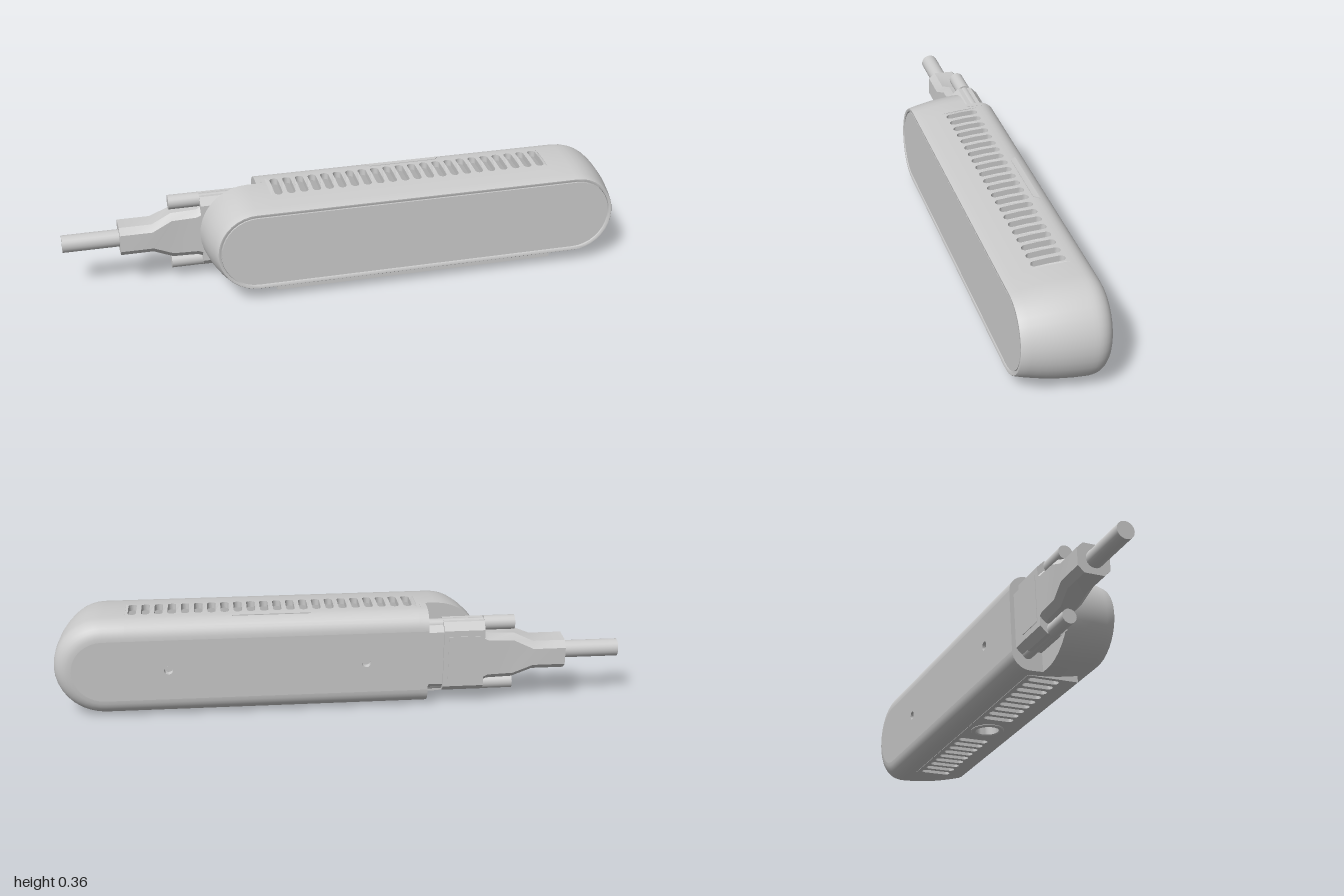
import * as THREE from 'three';
import { toCreasedNormals } from 'three/addons/utils/BufferGeometryUtils.js';

const grey = new THREE.MeshStandardMaterial({ color: 0xcccccc, side: THREE.DoubleSide });

// Body layout: a pill outline whose radius varies with depth
const XL = -0.343, XR = 0.823;          // centres of the two round ends
const VL = -0.275, VR = 0.745;          // vent opening in x
const VF = 0.06, VB = -0.075;           // vent opening in z
const CUT = -0.31, STEP = -0.04;        // rear notch for the plug
const ARC = 18;
const radiusAt = z => 0.1755 - 0.583 * (z + 0.09) ** 2;
const slotX = Array.from({ length: 22 }, (_, i) => -0.245 + i * 0.046);

function mesh(name, geometry, parent, x = 0, y = 0, z = 0) {
  const m = new THREE.Mesh(geometry, grey);
  m.name = name;
  m.position.set(x, y, z);
  parent.add(m);
  return m;
}

// Pill outline, counter-clockwise, optionally cut flat on one side
function pill(r, minX = -9) {
  const pts = [];
  const arc = (cx, start) => {
    for (let i = 0; i <= ARC; i++) {
      const a = start + Math.PI * i / ARC;
      pts.push(new THREE.Vector2(Math.max(minX, cx + r * Math.cos(a)), r * Math.sin(a)));
    }
  };
  arc(XR, -Math.PI / 2);
  pts.push(new THREE.Vector2(VR, r), new THREE.Vector2(VL, r));
  arc(XL, Math.PI / 2);
  pts.push(new THREE.Vector2(VL, -r), new THREE.Vector2(VR, -r));
  return pts;
}

// Skin over cross-sections { pts, z } ordered from high z to low z
function loft(rings, capStart, capEnd, skip = () => false) {
  const pos = [], index = [], n = rings[0].pts.length;
  for (const { pts, z } of rings) for (const p of pts) pos.push(p.x, p.y, z);
  for (let i = 0; i < rings.length - 1; i++) {
    for (let j = 0; j < n; j++) {
      if (skip(i, j)) continue;
      const a = i * n + j, b = i * n + (j + 1) % n, c = b + n, d = a + n;
      index.push(a, d, c, a, c, b);
    }
  }
  const last = (rings.length - 1) * n;
  for (let j = 1; j < n - 1; j++) {
    if (capStart) index.push(0, j, j + 1);
    if (capEnd) index.push(last, last + j + 1, last + j);
  }
  const g = new THREE.BufferGeometry();
  g.setAttribute('position', new THREE.Float32BufferAttribute(pos, 3));
  g.setIndex(index);
  return toCreasedNormals(g, 0.5);
}

// Chamfered block running along x; stations are [x, half depth, half height]
function chamferedLoft(stations, c) {
  const rings = stations.map(([x, w, h]) => ({
    z: x,
    pts: [[w, c - h], [w, h - c], [w - c, h], [c - w, h], [-w, h - c], [-w, c - h], [c - w, -h], [w - c, -h]]
      .map(p => new THREE.Vector2(...p)),
  }));
  return loft(rings, true, true).rotateY(Math.PI / 2);
}

// Horizontal plate with a row of rounded slots
function slottedPlate(z0, z1, thickness, slots, hole) {
  const s = new THREE.Shape([[VL, z0], [VR, z0], [VR, z1], [VL, z1]].map(p => new THREE.Vector2(...p)));
  const r = 0.0145, back = -0.065, front = 0.05;
  for (const x of slots) {
    const h = new THREE.Path();
    h.absarc(x, front - r, r, 0, Math.PI, false);
    h.lineTo(x - r, (front + back) / 2);
    h.absarc(x, back + r, r, Math.PI, Math.PI * 2, false);
    h.lineTo(x + r, (front + back) / 2);
    s.holes.push(h);
  }
  if (hole) s.holes.push(new THREE.Path().absarc(hole.x, hole.z, hole.r, 0, Math.PI * 2, true));
  return new THREE.ExtrudeGeometry(s, { depth: thickness, bevelEnabled: false, curveSegments: 8 }).rotateX(Math.PI / 2);
}

function buildBody(g) {
  // Rim, sides, rear notch and rounded back edge
  const rings = [
    { z: 0.143, pts: pill(0.13) }, { z: 0.15, pts: pill(0.131) }, { z: 0.1515, pts: pill(0.134) },
    { z: 0.1515, pts: pill(0.1405) },
  ];
  for (const z of [0.149, 0.12, 0.09, VF, 0.03, 0, STEP]) rings.push({ z, pts: pill(radiusAt(z)) });
  for (const z of [STEP, VB, -0.09]) rings.push({ z, pts: pill(radiusAt(z), CUT) });
  const edge = 0.063;
  for (let i = 1; i <= 8; i++) {
    const a = Math.PI / 2 * i / 8;
    rings.push({ z: -0.09 - edge * Math.sin(a), pts: pill(0.1755 - edge + edge * Math.cos(a), CUT) });
  }
  const open = (i, j) => (j === ARC + 1 || j === 2 * ARC + 4) && rings[i].z <= VF && rings[i + 1].z >= VB;
  mesh('bodyShell', loft(rings, true, false, open), g);

  // Back panel with two screw recesses
  const backZ = -0.153, holes = [0.6, -0.09], r = 0.016;
  const back = new THREE.Shape(pill(0.1755 - edge, CUT));
  for (const x of holes) back.holes.push(new THREE.Path().absarc(x, 0, r, 0, Math.PI * 2, true));
  const backGeo = new THREE.ShapeGeometry(back, 16).rotateY(Math.PI);
  mesh('backPanel', backGeo.scale(-1, 1, 1), g, 0, 0, backZ);
  backGeo.setIndex([...backGeo.index.array].reverse());
  const cup = new THREE.LatheGeometry([[0, 0.02], [r, 0.02], [r, 0]].map(p => new THREE.Vector2(...p)), 20).rotateX(Math.PI / 2);
  for (const x of holes) mesh('screwRecess', toCreasedNormals(cup, 0.6), g, x, 0, backZ);

  // Front window set inside the rim
  mesh('frontWindow', new THREE.ExtrudeGeometry(new THREE.Shape(pill(0.1265)), { depth: 0.006, bevelEnabled: false }), g, 0, 0, 0.143);

  // Top vent follows the curve of the shell
  const top = slottedPlate(VB, VF, 0.022, slotX);
  const p = top.attributes.position;
  for (let i = 0; i < p.count; i++) p.setY(i, p.getY(i) + radiusAt(p.getZ(i)));
  top.computeVertexNormals();
  mesh('topVent', top, g);

  // Flat bottom vent rail with a round threaded mount in its middle
  const mount = { x: 0.238, z: 0, r: 0.045 };
  const low = slotX.filter(x => Math.abs(x - mount.x) > 0.09);
  mesh('bottomVent', slottedPlate(-0.08, 0.11, 0.032, low, mount), g, 0, -0.145, 0);
  const profile = [[0, -0.13], [0.042, -0.13], [0.042, -0.178], [0.046, -0.182], [0.058, -0.182], [0.061, -0.179], [0.061, -0.15]];
  mesh('mountSocket', toCreasedNormals(new THREE.LatheGeometry(profile.map(q => new THREE.Vector2(...q)), 32), 0.6), g, mount.x, 0, mount.z);

  // Small latch lip and seam rib on top
  const lip = new THREE.Shape([[0.1, -0.1], [0.375, -0.1], [0.36, -0.08], [0.115, -0.08]].map(q => new THREE.Vector2(...q)));
  mesh('latchLip', new THREE.ExtrudeGeometry(lip, { depth: 0.006, bevelEnabled: false }).rotateX(Math.PI / 2), g, 0, 0.1775, 0);
  mesh('seamRib', new THREE.BoxGeometry(0.004, 0.006, 0.055), g, -0.29, 0.173, -0.07);
}

function buildPlug(g) {
  const plug = new THREE.Group();
  plug.name = 'cablePlug';
  plug.position.z = -0.095;
  g.add(plug);
  mesh('plugNeck', chamferedLoft([[-0.3, 0.042, 0.12], [-0.375, 0.042, 0.12]], 0.02), plug);
  mesh('plugBlock', chamferedLoft([[-0.365, 0.05, 0.132], [-0.51, 0.05, 0.132]], 0.025), plug);
  mesh('plugLabelPad', new THREE.BoxGeometry(0.11, 0.17, 0.003), plug, -0.437, 0, -0.0505);
  mesh('strainRelief', chamferedLoft([
    [-0.5, 0.05, 0.1], [-0.525, 0.05, 0.088], [-0.615, 0.05, 0.085], [-0.685, 0.058, 0.053], [-0.8, 0.058, 0.053],
  ], 0.022), plug);
  mesh('cable', new THREE.CylinderGeometry(0.031, 0.031, 0.21, 24).rotateZ(Math.PI / 2), plug, -0.895, 0, 0.003);
  // Thumbscrews above and below
  for (const s of [1, -1]) {
    mesh('thumbscrew', new THREE.CylinderGeometry(0.026, 0.026, 0.11, 20).rotateZ(Math.PI / 2), plug, -0.565, s * 0.115, 0);
    mesh('screwShaft', new THREE.CylinderGeometry(0.02, 0.02, 0.22, 16).rotateZ(Math.PI / 2), plug, -0.41, s * 0.115, 0);
  }
}

export function createModel() {
  const model = new THREE.Group();
  model.name = 'sensorBarWithCable';
  // The whole unit leans back slightly
  const unit = new THREE.Group();
  unit.name = 'tiltedUnit';
  unit.position.y = 0.1845;
  unit.rotation.x = -0.046;
  model.add(unit);
  buildBody(unit);
  buildPlug(unit);
  return model;
}
